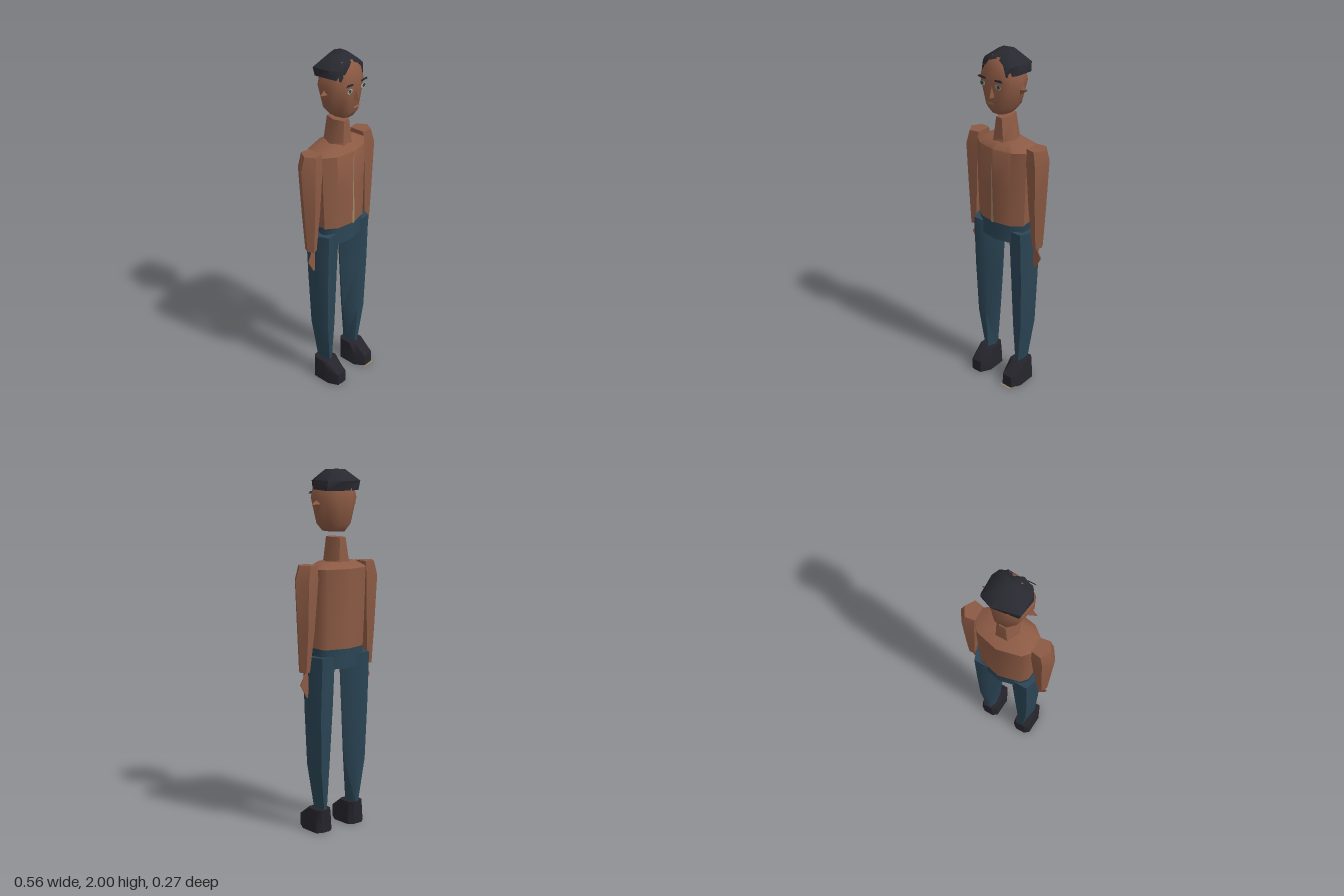
import * as THREE from 'three';
import { toCreasedNormals } from 'three/addons/utils/BufferGeometryUtils.js';

const mat = (name, color, side = THREE.FrontSide) => {
  const m = new THREE.MeshStandardMaterial({ color, side });
  m.name = name;
  return m;
};

export function createModel() {
  const model = new THREE.Group();
  model.name = 'standingMan';
  const skin = mat('skin', 0x8c5a44);
  const hairDark = mat('hairDark', 0x282830, THREE.DoubleSide);
  const denim = mat('denim', 0x2b4555);
  const shoeBlack = mat('shoeBlack', 0x25242c);
  const tan = mat('tan', 0x9c8664);
  const lip = mat('lip', 0x94704f, THREE.DoubleSide);
  const eyeWhite = mat('eyeWhite', 0x9aa79a, THREE.DoubleSide);
  const iris = mat('iris', 0x33483c, THREE.DoubleSide);

  const add = (name, geometry, material) => {
    const mesh = new THREE.Mesh(geometry, material);
    mesh.name = name;
    model.add(mesh);
    return mesh;
  };

  // Skin over point rings, listed bottom to top; side -1 mirrors it in x
  const loft = (rings, side = 1, crease = 1.1, capBottom = true) => {
    const pos = [], n = rings[0].length;
    const tri = (...p) => {
      if (side < 0) p.reverse();
      p.forEach(([x, y, z]) => pos.push(x * side, y, z));
    };
    const cap = (ring, up) => {
      const c = [0, 1, 2].map(k => ring.reduce((s, p) => s + p[k], 0) / n);
      ring.forEach((p, j) => {
        const q = ring[(j + 1) % n];
        up ? tri(c, p, q) : tri(c, q, p);
      });
    };
    for (let i = 0; i < rings.length - 1; i++) {
      for (let j = 0; j < n; j++) {
        const k = (j + 1) % n;
        const a = rings[i][j], b = rings[i][k], c = rings[i + 1][k], d = rings[i + 1][j];
        tri(a, b, c);
        tri(a, c, d);
      }
    }
    if (capBottom) cap(rings[0], false);
    cap(rings[rings.length - 1], true);
    const g = new THREE.BufferGeometry();
    g.setAttribute('position', new THREE.Float32BufferAttribute(pos, 3));
    return toCreasedNormals(g, crease);
  };

  // Fits an outline to levels of [y, xMin, xMax, zMin, zMax]
  const fit = (outline, levels) => levels.map(([y, x0, x1, z0, z1]) =>
    outline.map(([u, v]) => [(x0 + x1) / 2 + u * (x1 - x0) / 2, y, (z0 + z1) / 2 + v * (z1 - z0) / 2]));
  // Centred levels: [y, halfWidth, zMin, zMax]
  const centred = (outline, levels) => fit(outline, levels.map(([y, w, a, b]) => [y, -w, w, a, b]));
  const plate = (points, z) => {
    const g = new THREE.ShapeGeometry(new THREE.Shape(points.map(p => new THREE.Vector2(...p))));
    return g.translate(0, 0, z);
  };

  // Outlines run from the front toward the left side
  const bodyOutline = [[0, 1], [0.63, 0.83], [1, 0.4], [0.97, -0.4], [0.77, -0.73],
    [0, -1], [-0.77, -0.73], [-0.97, -0.4], [-1, 0.4], [-0.63, 0.83]];
  const headOutline = [[-0.38, 1], [0.38, 1], [0.8, 0.72], [1, 0.1], [0.85, -0.6],
    [0.4, -1], [-0.4, -1], [-0.85, -0.6], [-1, 0.1], [-0.8, 0.72]];
  const hexOutline = [[-0.5, 1], [0.5, 1], [1, 0], [0.5, -1], [-0.5, -1], [-1, 0]];
  const armOutline = [[-1, 0.8], [0.25, 1], [1, 0], [0.25, -1], [-1, -0.85]];
  const legOutline = [[-0.2, 1], [0.65, 1], [1, 0.1], [0.65, -1], [-0.2, -1], [-1, -0.1]];

  // Torso, neck and hips
  add('torso', loft(centred(bodyOutline, [
    [1.04, 0.16, -0.125, 0.1], [1.25, 0.168, -0.132, 0.102],
    [1.475, 0.172, -0.137, 0.1], [1.51, 0.11, -0.085, 0.055]]), 1, 0.9), skin);
  add('neck', loft(centred(hexOutline, [
    [1.49, 0.072, -0.082, 0.06], [1.52, 0.066, -0.08, 0.055], [1.64, 0.038, -0.07, 0.05]])), skin);
  add('hips', loft(centred(bodyOutline, [
    [0.93, 0.15, -0.115, 0.09], [1.045, 0.163, -0.115, 0.085]])), denim);

  // Open strip down the chest
  add('chestStrip', plate([[-0.012, 1.04], [0.006, 1.04], [-0.002, 1.28], [-0.006, 1.45], [-0.009, 1.28]], 0.1045), tan);

  for (const s of [1, -1]) {
    const label = s > 0 ? 'left' : 'right';
    // Arm
    add(label + 'Arm', loft(fit(armOutline, [
      [0.92, 0.205, 0.25, -0.045, 0.02], [1.15, 0.185, 0.265, -0.065, 0.033],
      [1.42, 0.17, 0.282, -0.08, 0.043], [1.5, 0.168, 0.255, -0.072, 0.034]]), s, 0.9), skin);
    // Flat hand
    add(label + 'Hand', loft(fit([[-1, 1], [1, 1], [1, -1], [-1, -1]], [
      [0.775, 0.2, 0.206, -0.014, -0.008], [0.85, 0.19, 0.248, -0.014, -0.008],
      [0.92, 0.2, 0.21, -0.014, -0.008]]), s), skin);
    // Trouser leg
    add(label + 'Leg', loft(fit(legOutline, [
      [0.13, 0.087, 0.133, -0.06, 0.032], [0.38, 0.052, 0.18, -0.077, 0.05],
      [0.7, 0.03, 0.195, -0.087, 0.06], [1.0, 0.016, 0.198, -0.1, 0.07]]), s), denim);
    // Shoe: sole edge, instep and opening share one outline
    const shoe = [[0, 0.087, 0.15, 0.124, 0], [0.07, 0.087, 0.15, 0.122, 0.004], [0.13, 0.09, 0.145, 0.045, 0.01]]
      .map(([y, a, b, toe, inset]) => [[a, y, toe], [b, y, toe],
        [0.176 - inset, y, Math.min(0.065, toe - 0.02)], [0.172 - inset, y, -0.045], [0.145, y, -0.066],
        [0.087, y, -0.066], [0.06 + inset, y, -0.045], [0.055 + inset, y, Math.min(0.065, toe - 0.02)]]);
    add(label + 'Shoe', loft(shoe, s, 0.7), shoeBlack);
    // Ear
    const ear = new THREE.ConeGeometry(0.032, 0.05, 4);
    ear.rotateZ(-s * Math.PI / 2).scale(1, 1.05, 0.7).translate(s * 0.131, 1.815, 0.004);
    add(label + 'Ear', toCreasedNormals(ear, 0.3), skin);
    // Eye, iris and brow, standing just off the face
    add(label + 'Eye', plate([[s * 0.034, 1.832], [s * 0.06, 1.824], [s * 0.074, 1.84],
      [s * 0.055, 1.855], [s * 0.036, 1.85]], 0.116), eyeWhite);
    add(label + 'Iris', new THREE.CircleGeometry(0.011, 8).translate(s * 0.055, 1.841, 0.118), iris);
    add(label + 'Brow', plate([[s * 0.03, 1.866], [s * 0.085, 1.869], [s * 0.072, 1.882], [s * 0.03, 1.876]], 0.118), hairDark);
  }

  // Sole welts peeking out past the toes
  const welt = (name, points) => add(name, plate(points, 0).rotateX(-Math.PI / 2).translate(0, 0.002, 0), tan);
  welt('leftWelt', [[0.08, -0.135], [0.15, -0.135], [0.175, -0.065], [0.14, -0.08], [0.08, -0.115]]);
  welt('rightWelt', [[-0.15, -0.135], [-0.125, -0.118], [-0.15, -0.11]]);

  // Head, nose and mouth
  add('head', loft(centred(headOutline, [
    [1.67, 0.05, -0.06, 0.075], [1.71, 0.083, -0.088, 0.1], [1.85, 0.13, -0.09, 0.102],
    [1.92, 0.11, -0.088, 0.1], [1.978, 0.05, -0.05, 0.068]])), skin);
  const nose = new THREE.ConeGeometry(0.02, 0.06, 3);
  nose.scale(0.6, 1, 1).translate(0.003, 1.8, 0.108);
  add('nose', toCreasedNormals(nose, 0.3), skin);
  add('mouth', plate([[-0.032, 1.745], [-0.015, 1.737], [0.015, 1.737], [0.032, 1.745], [0, 1.749]], 0.118), lip);

  // Hair cap: hem with a forehead notch, widest band, crown
  const hem = [[0.01, 1.972, 0.07], [0.06, 1.95, 0.086], [0.08, 1.89, 0.088], [0.119, 1.895, 0.035],
    [0.114, 1.888, -0.075], [0.03, 1.888, -0.098], [-0.1, 1.888, -0.08],
    [-0.118, 1.905, 0.03], [-0.085, 1.892, 0.085], [-0.03, 1.962, 0.092]];
  const band = [[0.012, 1.981, 0.062], [0.062, 1.962, 0.076], [0.098, 1.94, 0.074], [0.114, 1.945, 0.03],
    [0.111, 1.94, -0.08], [0.038, 1.94, -0.117], [-0.112, 1.938, -0.082],
    [-0.112, 1.945, 0.03], [-0.082, 1.945, 0.078], [-0.026, 1.978, 0.082]];
  const crown = band.map(([x, , z]) => [x * 0.4 + 0.004, 2, z * 0.4 - 0.005]);
  add('hair', loft([hem, band, crown], 1, 0.9, false), hairDark);

  return model;
}
